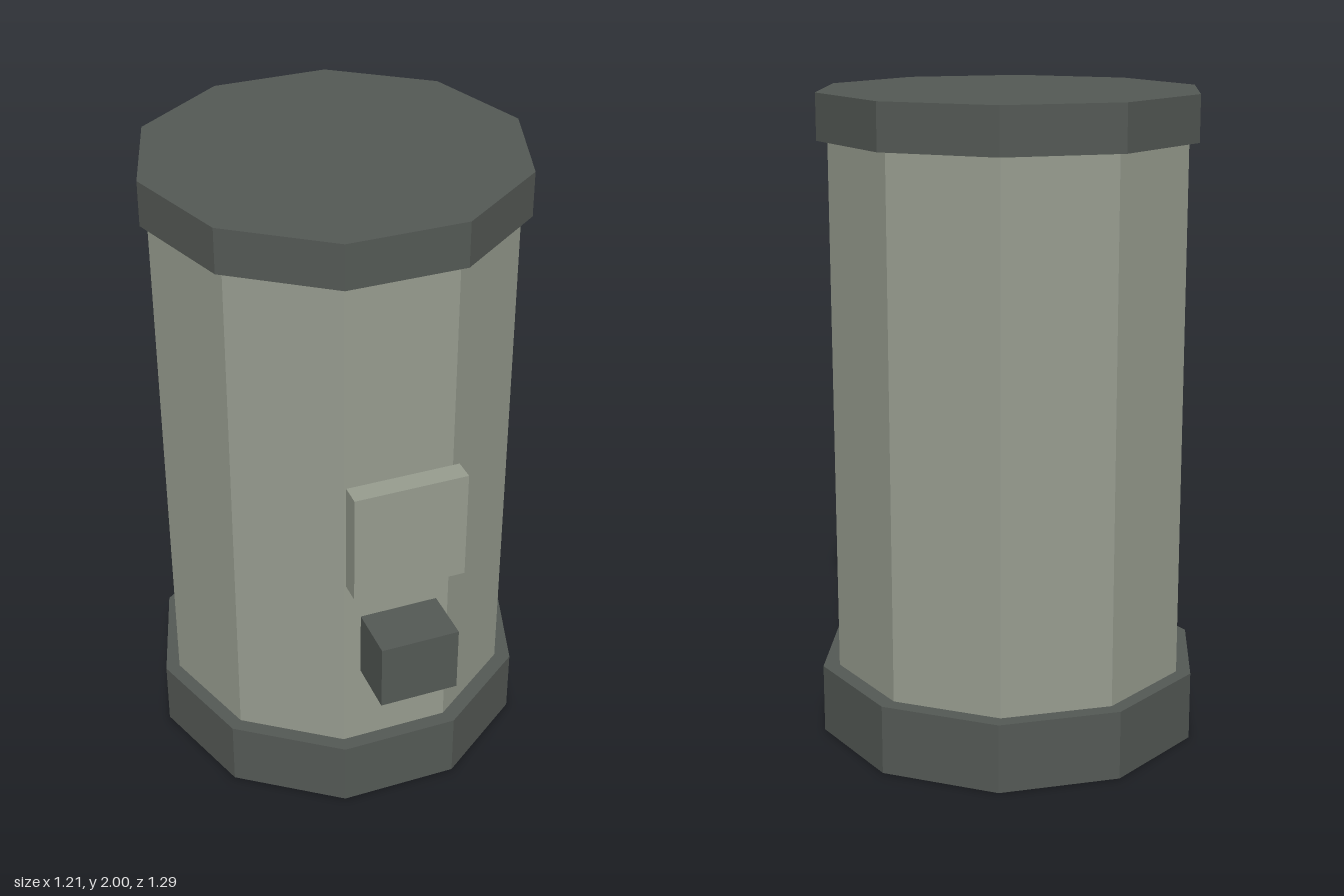
import * as THREE from 'three';

export function createModel() {
  const group = new THREE.Group();
  const shell = new THREE.MeshStandardMaterial({ color: 0x979c8f, flatShading: true });
  shell.name = 'pale grey green';
  const trim = new THREE.MeshStandardMaterial({ color: 0x545955, flatShading: true });
  trim.name = 'dark grey green';

  const SIDES = 10, AXIS_Z = -0.07;

  function add(name, geometry, material, x, y, z) {
    const mesh = new THREE.Mesh(geometry, material);
    mesh.name = name;
    mesh.position.set(x, y, z);
    group.add(mesh);
    return mesh;
  }

  // Ten-sided drum with a flat side facing the front
  function drum(name, radius, y0, y1, material, x = 0) {
    const geometry = new THREE.CylinderGeometry(radius, radius, y1 - y0, SIDES, 1, false, Math.PI / SIDES);
    return add(name, geometry, material, x, (y0 + y1) / 2, AXIS_Z);
  }

  // Box given by its limits on each axis
  function block(name, [x0, x1], [y0, y1], [z0, z1], material) {
    add(name, new THREE.BoxGeometry(x1 - x0, y1 - y0, z1 - z0), material,
      (x0 + x1) / 2, (y0 + y1) / 2, (z0 + z1) / 2);
  }

  drum('base', 0.605, 0, 0.215, trim);
  const body = drum('body', 0.556, 0.2, 1.88, shell, -0.003);
  drum('lid', 0.588, 1.86, 2, trim, -0.002);

  // The body leans out slightly at the top of its right corner
  const p = body.geometry.attributes.position;
  for (let i = 0; i < p.count; i++) {
    if (p.getX(i) < -0.5 && p.getY(i) > 0) p.setX(i, p.getX(i) - 0.009);
  }
  body.geometry.computeVertexNormals();

  // Front fittings
  block('frontPanel', [-0.18, 0.175], [0.86, 1.215], [0.49, 0.557], shell);
  block('frontBox', [-0.125, 0.123], [0.5, 0.715], [0.473, 0.645], trim);

  return group;
}
